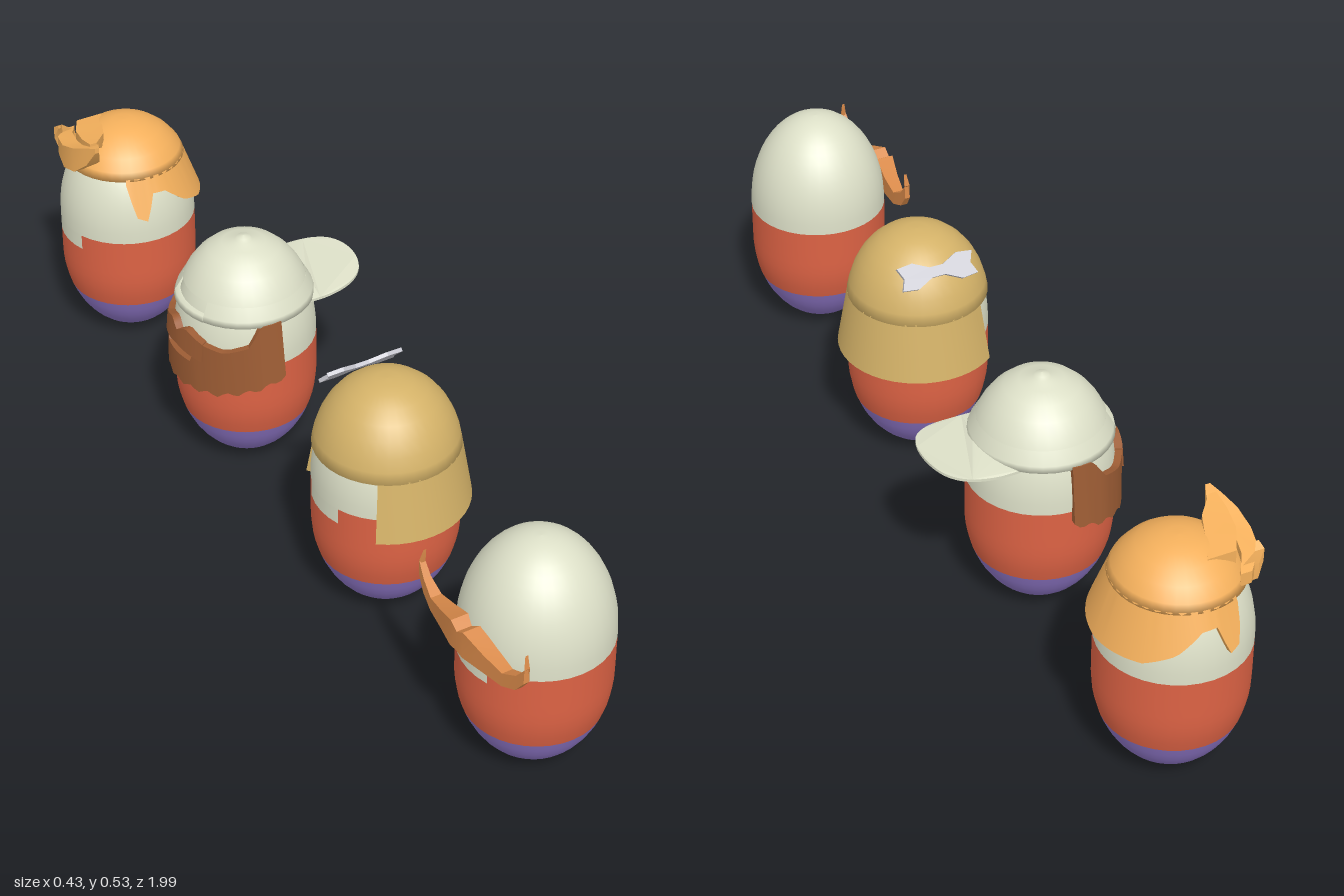
import * as THREE from 'three';
import { toCreasedNormals } from 'three/addons/utils/BufferGeometryUtils.js';

const SKIN = 0xdde0c8, RED = 0xdc6244, PURPLE = 0x8c74c4, BLOND = 0xd4b268;
const ORANGE = 0xf4b05c, GINGER = 0xd98a4a, BROWN = 0x9c5c34, SILVER = 0xc4c4cc;
const RAD = Math.PI / 180;

function add(group, name, geometry, color) {
  const mesh = new THREE.Mesh(geometry, new THREE.MeshStandardMaterial({ color, side: THREE.DoubleSide }));
  mesh.name = name;
  group.add(mesh);
  return mesh;
}

// Radius of the egg-shaped body at height y
function bodyR(y) {
  const t = y < 0.2 ? (0.2 - y) / 0.2 : y > 0.3 ? (y - 0.3) / 0.21 : 0;
  return 0.15 * Math.sqrt(Math.max(0, 1 - t * t));
}

// Turned surface; angles are degrees from the face direction (-x) towards +z
function turned(points, from = 0, to = 360) {
  const segs = Math.max(2, Math.round((to - from) / 10));
  return new THREE.LatheGeometry(points.map(p => new THREE.Vector2(...p)), segs,
    -Math.PI / 2 + from * RAD, (to - from) * RAD);
}

// Slice of the body between two heights
function bodyBand(y0, y1, n, from, to) {
  const pts = [];
  for (let i = 0; i <= n; i++) {
    // rows crowd towards the poles
    const t = i / n;
    const e = y1 > 0.5 ? Math.sin(t * Math.PI / 2) : y0 === 0 ? 1 - Math.cos(t * Math.PI / 2) : t;
    const y = y0 + (y1 - y0) * e;
    pts.push([bodyR(y), y]);
  }
  return turned(pts, from, to);
}

// Closed solid through cross-sections of [x, y, z] corners
function loft(sections, crease = 0.6) {
  const n = sections[0].length, index = [];
  for (let s = 0; s < sections.length - 1; s++)
    for (let i = 0; i < n; i++) {
      const a = s * n + i, b = s * n + (i + 1) % n;
      index.push(a, b, a + n, b, b + n, a + n);
    }
  const last = (sections.length - 1) * n;
  for (let i = 1; i < n - 1; i++) index.push(0, i + 1, i, last, last + i, last + i + 1);
  const g = new THREE.BufferGeometry();
  g.setAttribute('position', new THREE.Float32BufferAttribute(sections.flat(2), 3));
  g.setIndex(index);
  g.computeVertexNormals();
  return toCreasedNormals(g, crease);
}

// Curved plate round the head: bottom/top heights by angle, radii by height
function plate(angles, bottom, top, outer, inner) {
  return loft(angles.map(a => {
    const at = (r, y) => [-r * Math.cos(a * RAD), y, r * Math.sin(a * RAD)];
    const b = bottom(a), t = top(a);
    return [at(inner(b), b), at(outer(b), b), at(outer(t), t), at(inner(t), t)];
  }));
}

// Square lock of hair; each row is x, y, z, half width in x, half height in y
const lock = rows => loft(rows.map(([x, y, z, w, h]) =>
  [[x - w, y - h, z], [x + w, y - h, z], [x + w, y + h, z], [x - w, y + h, z]]), 0.4);

const range = (a, b, step) => Array.from({ length: Math.round((b - a) / step) + 1 }, (_, i) => a + i * step);

// Piecewise linear lookup
function ramp(keys, x) {
  let i = 1;
  while (i < keys.length - 1 && x > keys[i][0]) i++;
  const [x0, y0] = keys[i - 1], [x1, y1] = keys[i];
  return y0 + (y1 - y0) * THREE.MathUtils.clamp((x - x0) / (x1 - x0), 0, 1);
}

function figure(name, z) {
  const g = new THREE.Group();
  g.name = name;
  g.position.set(-0.04, 0, z);
  add(g, 'trousers', bodyBand(0, 0.117, 9), PURPLE);
  add(g, 'shirt', bodyBand(0.117, 0.255, 6), RED);
  add(g, 'shirtCollar', bodyBand(0.255, 0.29, 1, 20, 340), RED);
  add(g, 'chin', bodyBand(0.255, 0.29, 1, -20, 20), SKIN);
  add(g, 'head', bodyBand(0.29, 0.51, 14), SKIN);
  return g;
}

function moustacheFigure() {
  const g = figure('moustacheFigure', 0.815);
  // handlebar with upturned tips
  const half = [[-0.158, 0.34, 0.02, 0.019, 0.03], [-0.15, 0.33, 0.07, 0.016, 0.021],
    [-0.145, 0.325, 0.12, 0.012, 0.015], [-0.143, 0.342, 0.155, 0.008, 0.017],
    [-0.142, 0.37, 0.176, 0.006, 0.016], [-0.14, 0.408, 0.17, 0.003, 0.005]];
  const mirrored = half.map(([x, y, z, w, h]) => [x, y, -z, w, h]).reverse();
  add(g, 'moustache', lock([...mirrored, [-0.155, 0.335, 0, 0.022, 0.022], ...half]), GINGER);
  return g;
}

function bobFigure() {
  const g = figure('bobHairFigure', 0.28);
  add(g, 'hairTop', turned([[0.134, 0.375], [0.149, 0.375], [0.144, 0.4], [0.135, 0.428],
    [0.121, 0.456], [0.102, 0.481], [0.078, 0.502], [0.05, 0.516], [0.025, 0.522], [0, 0.523]]), BLOND);
  add(g, 'hairSides', plate(range(52, 308, 8), () => 0.247, () => 0.378,
    y => ramp([[0.247, 0.171], [0.378, 0.148]], y), y => ramp([[0.247, 0.16], [0.378, 0.138]], y)), BLOND);
  // bow on the side of the crown
  const bow = new THREE.Shape([[-0.085, -0.024], [-0.05, -0.028], [-0.015, -0.011], [0.015, -0.011],
    [0.05, -0.028], [0.085, -0.024], [0.075, 0], [0.085, 0.024], [0.05, 0.028], [0.015, 0.011],
    [-0.015, 0.011], [-0.05, 0.028], [-0.085, 0.024], [-0.075, 0]].map(p => new THREE.Vector2(...p)));
  const mesh = add(g, 'bow', new THREE.ExtrudeGeometry(bow, { depth: 0.008, bevelEnabled: false }), SILVER);
  mesh.position.set(0.005, 0.48, -0.107);
  mesh.rotation.x = Math.PI + 0.75;
  return g;
}

function capFigure() {
  const g = figure('capFigure', -0.295);
  // dome with an arched gap and strap over the forehead
  add(g, 'capCrown', turned([[0.128, 0.43], [0.118, 0.45], [0.1, 0.475], [0.075, 0.498],
    [0.045, 0.511], [0.018, 0.516], [0.014, 0.523], [0, 0.526]]), SKIN);
  add(g, 'capSides', turned([[0.134, 0.39], [0.147, 0.39], [0.143, 0.403], [0.128, 0.43]], 25, 335), SKIN);
  add(g, 'capStrap', turned([[0.134, 0.39], [0.148, 0.39], [0.145, 0.403], [0.134, 0.403]], -25, 25), SKIN);
  // brim worn at the back, gently arched
  const s = new THREE.Shape();
  s.moveTo(0.09, -0.105);
  s.bezierCurveTo(0.17, -0.11, 0.215, -0.1, 0.24, -0.065);
  s.bezierCurveTo(0.262, -0.03, 0.262, 0.03, 0.24, 0.065);
  s.bezierCurveTo(0.215, 0.1, 0.17, 0.11, 0.09, 0.105);
  s.absarc(0, 0, 0.138, 0.862, -0.862, true);
  const brim = new THREE.ExtrudeGeometry(s, { depth: 0.006, bevelEnabled: false, curveSegments: 14 });
  brim.rotateX(-Math.PI / 2);
  const p = brim.attributes.position;
  for (let i = 0; i < p.count; i++) {
    const lift = Math.max(0, p.getX(i) - 0.14) * 0.06;
    p.setY(i, p.getY(i) + 0.395 + lift - 0.9 * p.getZ(i) ** 2);
  }
  brim.computeVertexNormals();
  add(g, 'capBrim', brim, SKIN);
  // full beard with sideburns, moustache and a gap for the mouth
  const outer = y => bodyR(y) + 0.014, inner = y => bodyR(y) - 0.004;
  const top = [[0, 0.29], [18, 0.29], [22, 0.345], [45, 0.335], [64, 0.35], [74, 0.392], [92, 0.395]];
  const low = [[0, 0.222], [40, 0.228], [70, 0.245], [92, 0.265]];
  add(g, 'beard', plate(range(-92, 92, 4), a => ramp(low, Math.abs(a)) + 0.005 * Math.cos(a * 0.4),
    a => ramp(top, Math.abs(a)), outer, inner), BROWN);
  add(g, 'beardMoustache', plate(range(-28, 28, 4), a => 0.313 - 0.0004 * Math.abs(a),
    a => ramp([[0, 0.345], [10, 0.362], [28, 0.345]], Math.abs(a)), y => outer(y) + 0.002, inner), BROWN);
  return g;
}

function sweptFigure() {
  const g = figure('sweptHairFigure', -0.84);
  add(g, 'hairTop', turned([[0.108, 0.438], [0.13, 0.438], [0.122, 0.456], [0.103, 0.48],
    [0.079, 0.5], [0.05, 0.513], [0.025, 0.519], [0, 0.52]]), ORANGE);
  // long nape rising to the ears, with pointed sideburns
  const hem = [[64, 0.43], [72, 0.36], [82, 0.348], [86, 0.408], [100, 0.405], [118, 0.365], [140, 0.342], [180, 0.337]];
  const r = y => ramp([[0.337, 0.165], [0.4, 0.146], [0.442, 0.128]], y);
  add(g, 'hairSides', plate(range(64, 296, 4), a => ramp(hem, a > 180 ? 360 - a : a),
    () => 0.442, r, y => r(y) - 0.012), ORANGE);
  // quiff swept across the forehead and flicked up at the end
  add(g, 'quiff', lock([[-0.085, 0.46, -0.1, 0.012, 0.014], [-0.115, 0.463, -0.06, 0.018, 0.022],
    [-0.127, 0.465, -0.01, 0.018, 0.028], [-0.122, 0.478, 0.035, 0.02, 0.03],
    [-0.112, 0.5, 0.07, 0.016, 0.022], [-0.112, 0.524, 0.095, 0.005, 0.006]]), ORANGE);
  add(g, 'crownLock', lock([[-0.05, 0.49, -0.07, 0.03, 0.015], [-0.075, 0.495, -0.02, 0.032, 0.018],
    [-0.09, 0.502, 0.03, 0.026, 0.018], [-0.108, 0.522, 0.07, 0.008, 0.006]]), ORANGE);
  add(g, 'sideTuft', lock([[-0.1, 0.455, -0.085, 0.02, 0.018], [-0.122, 0.485, -0.08, 0.01, 0.014],
    [-0.125, 0.505, -0.065, 0.003, 0.004]]), ORANGE);
  return g;
}

export function createModel() {
  const model = new THREE.Group();
  model.name = 'capsuleFigures';
  model.add(moustacheFigure(), bobFigure(), capFigure(), sweptFigure());
  return model;
}
